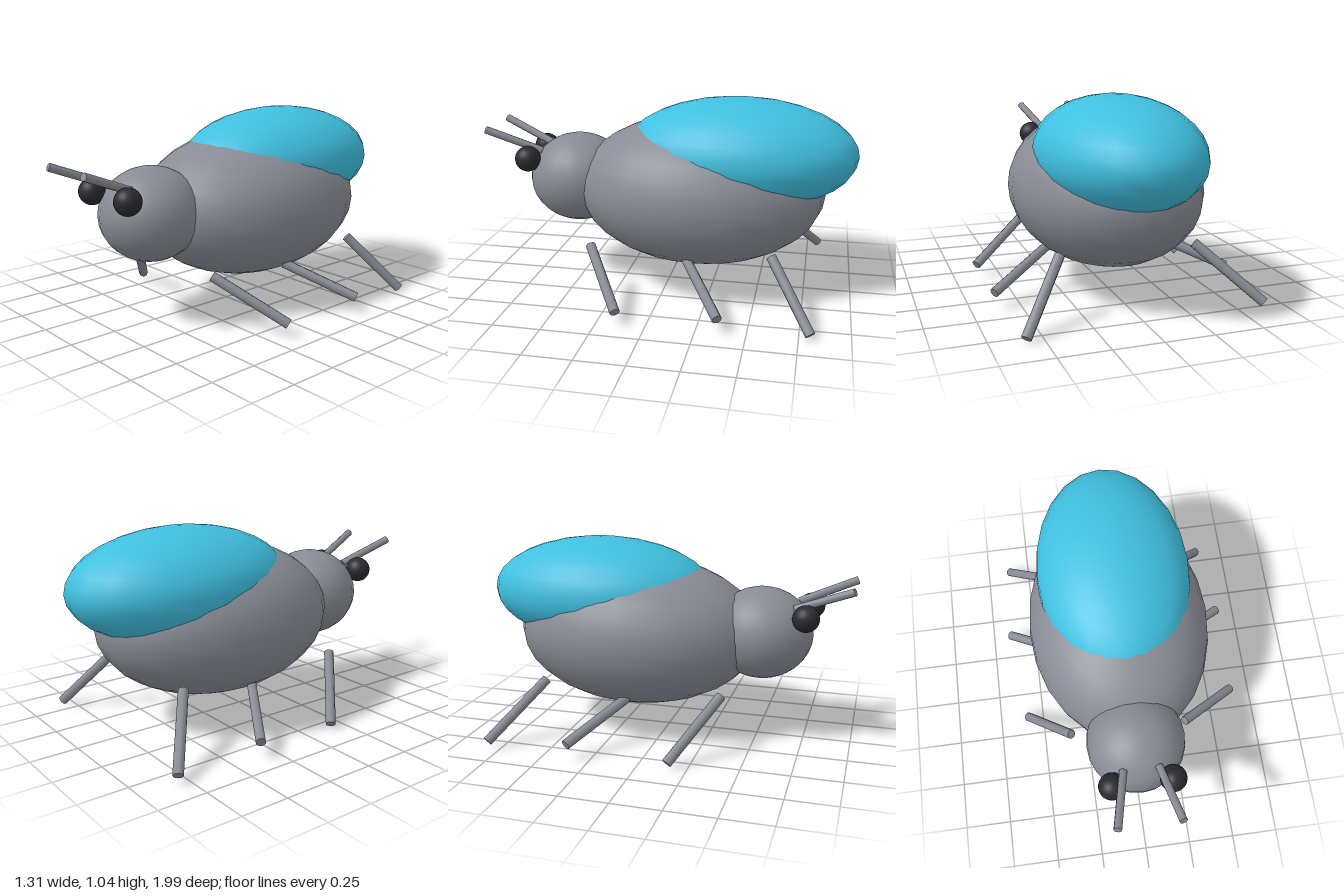
import * as THREE from 'three';

const mat = (name, color) => {
  const m = new THREE.MeshStandardMaterial({ color });
  m.name = name;
  return m;
};

export function createModel() {
  const beetle = new THREE.Group();
  beetle.name = 'beetle';
  const grey = mat('grey', 0x898c95);
  const blue = mat('blue', 0x3fbfdf);
  const black = mat('black', 0x2a2a30);

  const ellipsoid = (name, material, center, radii) => {
    const mesh = new THREE.Mesh(new THREE.SphereGeometry(1, 24, 16), material);
    mesh.name = name;
    mesh.position.set(...center);
    mesh.scale.set(...radii);
    beetle.add(mesh);
  };

  // straight rod between two points
  const rod = (name, start, end, radius) => {
    const a = new THREE.Vector3(...start), b = new THREE.Vector3(...end);
    const dir = b.clone().sub(a);
    const mesh = new THREE.Mesh(new THREE.CylinderGeometry(radius, radius, dir.length(), 8), grey);
    mesh.name = name;
    mesh.position.copy(a).add(b).multiplyScalar(0.5);
    mesh.quaternion.setFromUnitVectors(new THREE.Vector3(0, 1, 0), dir.normalize());
    beetle.add(mesh);
  };

  // body, wing shell and head
  ellipsoid('body', grey, [0, 0.55, -0.17], [0.49, 0.4, 0.67]);
  ellipsoid('wingShell', blue, [0, 0.76, -0.38], [0.41, 0.29, 0.62]);
  ellipsoid('head', grey, [0, 0.578, 0.51], [0.258, 0.243, 0.27]);

  // eyes and antennae
  for (const [side, s] of [['left', 1], ['right', -1]]) {
    ellipsoid(side + 'Eye', black, [s * 0.154, 0.702, 0.752], [0.069, 0.069, 0.069]);
    rod(side + 'Antenna', [s * 0.09, 0.735, 0.69], [s * 0.156, 0.853, 0.985], 0.021);
  }

  // legs, slightly different on each side
  rod('leftFrontLeg', [0.305, 0.288, 0.365], [0.63, 0.075, 0.15], 0.026);
  rod('rightFrontLeg', [-0.335, 0.32, 0.365], [-0.587, 0.035, 0.15], 0.026);
  rod('leftMiddleLeg', [0.3, 0.245, -0.15], [0.635, 0.09, -0.36], 0.026);
  rod('rightMiddleLeg', [-0.3, 0.245, -0.15], [-0.64, 0.095, -0.36], 0.026);
  rod('leftBackLeg', [0.365, 0.325, -0.59], [0.585, 0.025, -0.805], 0.026);
  rod('rightBackLeg', [-0.33, 0.32, -0.59], [-0.612, 0.05, -0.81], 0.026);
  return beetle;
}
